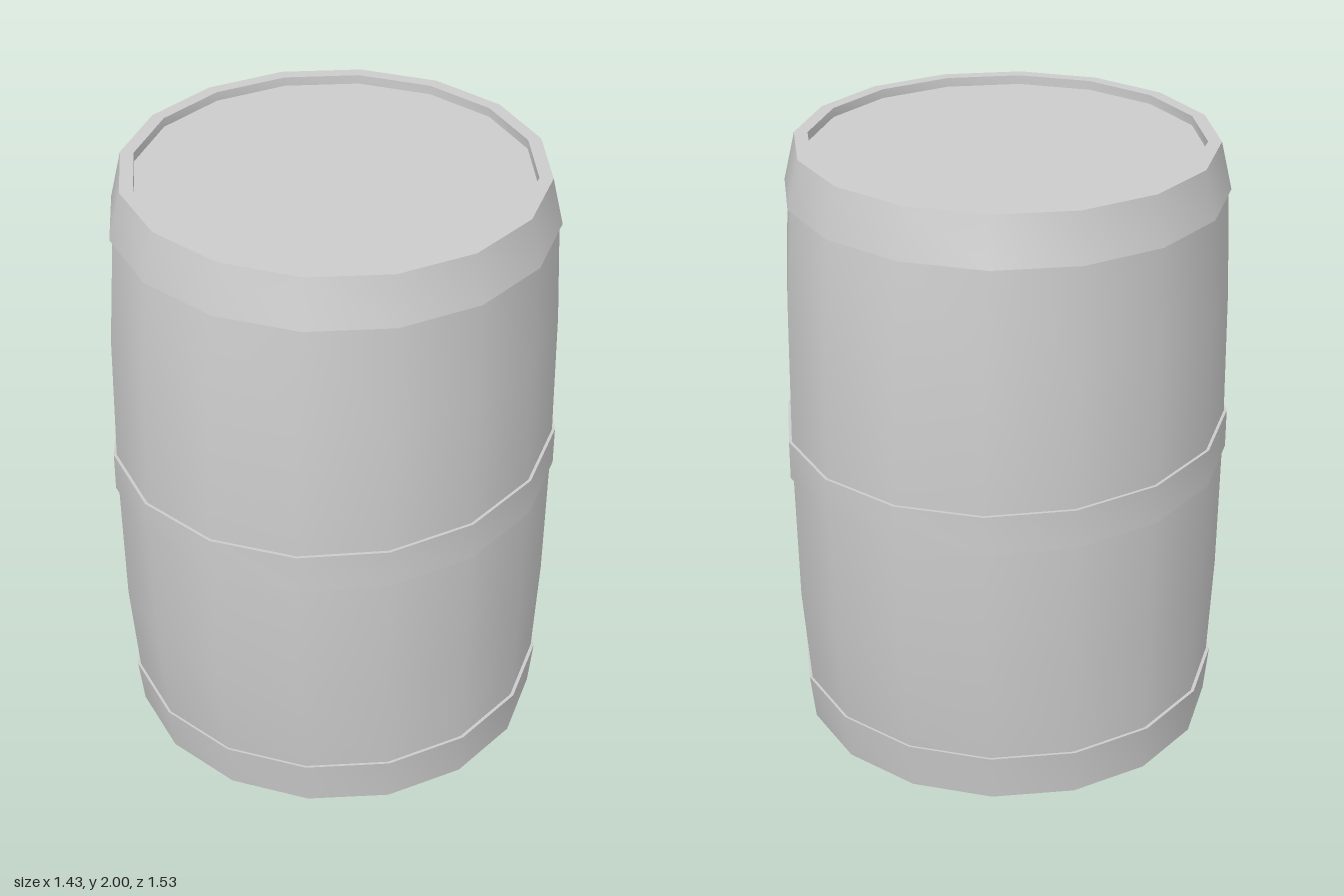
import * as THREE from 'three';
import { toCreasedNormals } from 'three/addons/utils/BufferGeometryUtils.js';

const SIDES = 16;
const material = new THREE.MeshStandardMaterial({ color: 0xcccccc });

// Turned part with an oval cross-section; rows are [radius in x, radius in z, y]
function oval(name, rows) {
  const points = rows.map(([, , y]) => new THREE.Vector2(1, y));
  const geometry = new THREE.LatheGeometry(points, SIDES);
  const pos = geometry.attributes.position;
  for (let i = 0; i < pos.count; i++) {
    const [rx, rz] = rows[i % rows.length];
    pos.setX(i, pos.getX(i) * rx);
    pos.setZ(i, pos.getZ(i) * rz);
  }
  const mesh = new THREE.Mesh(toCreasedNormals(geometry, 0.6), material);
  mesh.name = name;
  return mesh;
}

// Flat end of the barrel
function head(name, rx, rz, y, up) {
  const geometry = new THREE.CircleGeometry(1, SIDES);
  geometry.rotateX(up ? -Math.PI / 2 : Math.PI / 2);
  geometry.scale(rx, 1, rz);
  const mesh = new THREE.Mesh(geometry, material);
  mesh.name = name;
  mesh.position.y = y;
  return mesh;
}

export function createModel() {
  const barrel = new THREE.Group();
  barrel.name = 'barrel';

  // Bulging staves between the end hoops
  barrel.add(oval('staves', [
    [0.688, 0.697, 0.14], [0.7, 0.745, 0.5], [0.705, 0.757, 1],
    [0.7, 0.745, 1.5], [0.69, 0.697, 1.86],
  ]));

  // Raised hoop round the middle
  barrel.add(oval('middleHoop', [
    [0.7, 0.75, 0.94], [0.714, 0.765, 0.94], [0.714, 0.765, 1.07], [0.7, 0.75, 1.07],
  ]));

  // Tapered end hoops, each with a shallow lip round its head
  barrel.add(oval('topHoop', [
    [0.68, 0.69, 1.845], [0.7, 0.707, 1.845], [0.665, 0.665, 2],
    [0.622, 0.622, 2], [0.622, 0.622, 1.97],
  ]));
  barrel.add(oval('bottomHoop', [
    [0.675, 0.675, 0.03], [0.675, 0.675, 0], [0.685, 0.685, 0],
    [0.7, 0.707, 0.16], [0.68, 0.69, 0.16],
  ]));

  // Recessed heads
  barrel.add(head('topHead', 0.622, 0.622, 1.97, true));
  barrel.add(head('bottomHead', 0.675, 0.675, 0.03, false));
  return barrel;
}
